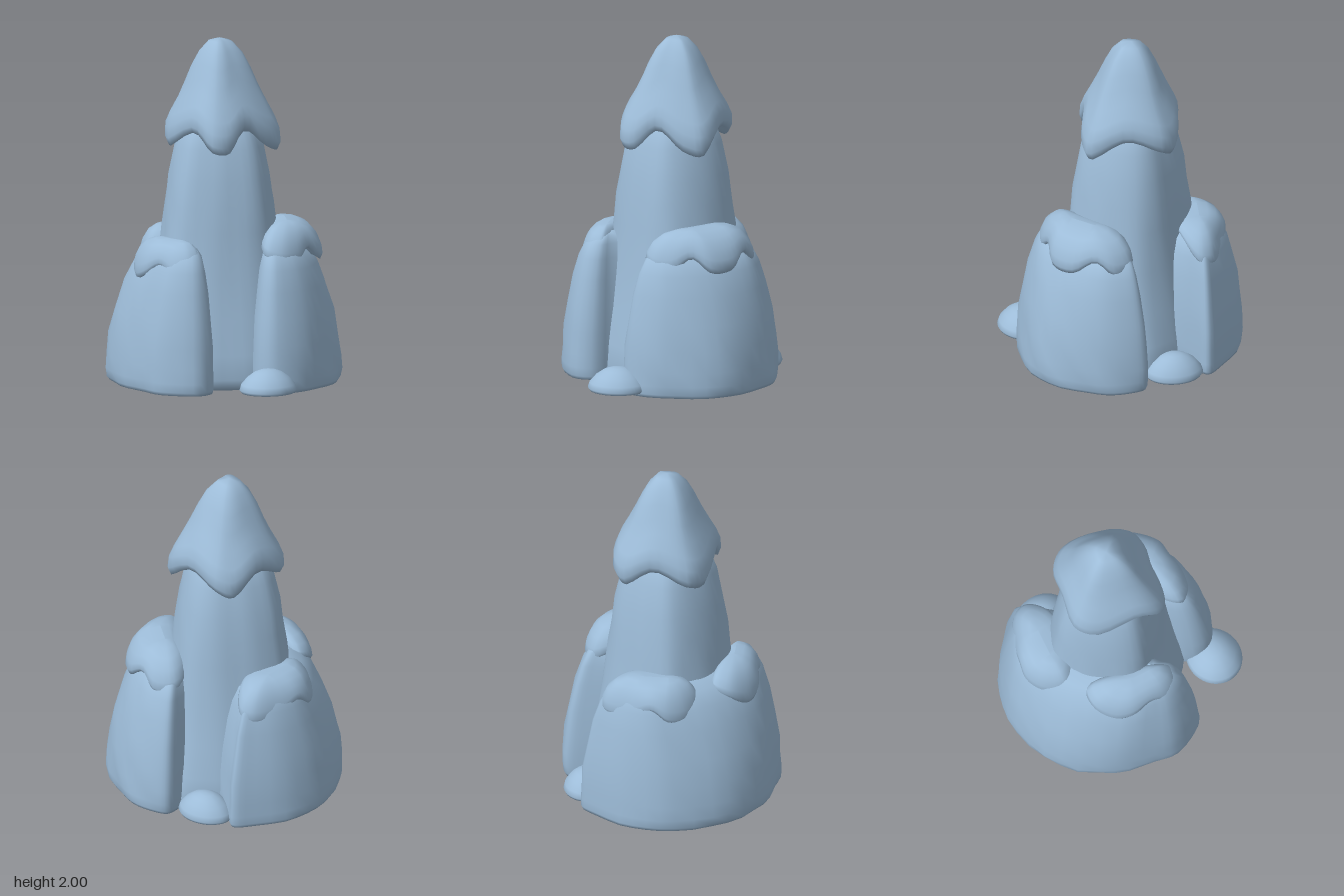
import * as THREE from 'three';
import { mergeVertices } from 'three/addons/utils/BufferGeometryUtils.js';

const N = 44; // points around each mound
const V = (p) => new THREE.Vector3(...p);

// Nearest point to p, in plan, on the ridge a-b (a single peak if a equals b)
function nearestOnRidge(p, a, b) {
  const dx = b[0] - a[0], dz = b[2] - a[2];
  const length2 = dx * dx + dz * dz;
  const t = length2 > 0 ? ((p.x - a[0]) * dx + (p.z - a[2]) * dz) / length2 : 0;
  const k = THREE.MathUtils.clamp(t, 0, 1);
  return [a[0] + dx * k, a[2] + dz * k];
}

// Rounded mound: a closed rim [x,y,z] shrinks toward the ridge a-b by a
// profile of [spread, rise], where rise 0 is the rim and 1 the ridge height.
function mound(rim, a, b, profile, lump = 0) {
  const points = new THREE.CatmullRomCurve3(rim.map(V), true).getPoints(N).slice(0, N);
  const pos = [], index = [];
  for (const [s, h] of profile) {
    for (const p of points) {
      const [cx, cz] = nearestOnRidge(p, a, b);
      const y = p.y + (a[1] - p.y) * h;
      const bump = Math.sin(p.x * 17 + y * 9) * Math.sin(p.z * 15 - y * 11 + 1);
      const k = s * (1 + lump * bump);
      pos.push(cx + (p.x - cx) * k, y, cz + (p.z - cz) * k);
    }
  }
  for (let r = 0; r < profile.length - 1; r++) {
    for (let i = 0; i < N; i++) {
      const j = (i + 1) % N, lo = r * N, hi = lo + N;
      index.push(lo + i, hi + i, hi + j, lo + i, hi + j, lo + j);
    }
  }
  const raw = new THREE.BufferGeometry();
  raw.setAttribute('position', new THREE.Float32BufferAttribute(pos, 3));
  raw.setIndex(index);
  const geometry = mergeVertices(raw);
  geometry.computeVertexNormals();
  return geometry;
}

const ground = (outline) => outline.map(([x, z]) => [x, 0, z]);

// Rim of points at even angles around a centre, one radius factor per point
const around = (x, y, z, rx, rz, factors) => factors.map((f, i) => {
  const t = i / factors.length * Math.PI * 2;
  return [x + rx * f * Math.cos(t), y, z + rz * f * Math.sin(t)];
});

export function createModel() {
  const group = new THREE.Group();
  const stone = new THREE.MeshStandardMaterial({ color: 0x9dbcd8 });
  stone.name = 'pale blue stone';
  const add = (name, geometry) => {
    const mesh = new THREE.Mesh(geometry, stone);
    mesh.name = name;
    group.add(mesh);
  };

  // Tall central spire, nearly round in plan
  const spireBase = [.01, 1, -.035];
  add('spire', mound(around(.01, 0, -.035, .48, .48, [1, .93, 1, .89, 1, .92, 1, .89]), spireBase, spireBase,
    [[0, 0], [.95, 0], [1, .06], [.95, .2], [.88, .4], [.8, .65], [.74, .9],
      [.7, 1.05], [.655, 1.2], [.575, 1.38], [.44, 1.55], [0, 1.65]], .02));

  // Pointed snow cap, drooping at the four corners
  const capRim = [[.33, 1.41, -.15], [.295, 1.48, .05], [.22, 1.35, .26], [.1, 1.38, .27], [-.06, 1.49, .225],
    [-.21, 1.37, .215], [-.285, 1.38, .15], [-.27, 1.48, 0], [-.2, 1.37, -.25], [-.1, 1.4, -.33],
    [.1, 1.48, -.3], [.28, 1.37, -.24]];
  const tip = [.02, 2, -.04];
  add('spireCap', mound(capRim, tip, tip,
    [[0, .12], [.75, .06], [.94, 0], [1, .07], [.985, .18], [.9, .29], [.76, .43],
      [.63, .58], [.51, .73], [.37, .87], [.2, .97], [0, 1]], .015));

  // Lower rocks leaning against the spire
  const rockProfile = [[0, 0], [.95, 0], [.985, .02], [1, .07], [.985, .15], [.955, .27], [.88, .42],
    [.76, .58], [.64, .7], [.5, .78], [.3, .82], [0, .84]];
  const frontOutline = [[.5, -.02], [.61, 0], [.635, .1], [.59, .3], [.38, .57], [.05, .64],
    [-.2, .55], [-.21, .42], [0, .2], [.22, 0]];
  add('frontRock', mound(ground(frontOutline), [.03, 1, .36], [.32, 1, .12], rockProfile, .025));

  const backOutline = [[.47, -.34], [.3, -.12], [0, .05], [-.3, .15], [-.42, .26], [-.55, .24], [-.635, .05],
    [-.62, -.1], [-.55, -.35], [-.33, -.6], [0, -.69], [.25, -.63], [.46, -.46], [.51, -.39]];
  add('backRock', mound(ground(backOutline), [-.36, 1, .05], [.2, 1, -.4], rockProfile, .025));

  // Scalloped snow caps on the rocks
  const capProfile = [[0, .3], [.75, .1], [.94, 0], [1, .13], [.97, .33], [.85, .6],
    [.63, .83], [.34, .96], [0, 1]];
  add('frontCap', mound([[.45, .73, .05], [.5, .72, .16], [.46, .8, .27], [.41, .72, .4], [.3, .72, .49],
    [.18, .8, .49], [.06, .72, .51], [-.05, .72, .48], [-.1, .76, .4], [-.02, .8, .3],
    [.12, .8, .2], [.3, .8, .06]], [.16, .95, .35], [.28, .95, .23], capProfile));
  add('rightCap', mound([[-.36, .75, .1], [-.41, .65, .17], [-.48, .65, .14], [-.52, .66, .06],
    [-.51, .73, -.06], [-.51, .66, -.18], [-.46, .63, -.28], [-.35, .7, -.36], [-.25, .75, -.34],
    [-.29, .8, -.1]], [-.38, .87, .01], [-.37, .87, -.12], capProfile));
  add('backCap', mound([[-.17, .7, -.41], [-.11, .64, -.53], [0, .65, -.59], [.1, .72, -.58],
    [.22, .66, -.54], [.37, .65, -.45], [.39, .67, -.37], [.25, .8, -.28], [0, .8, -.28]],
  [0, .87, -.43], [.17, .87, -.41], capProfile));

  // Small flat-bottomed boulders
  const even = new Array(10).fill(1);
  for (const [name, x, z, rx, rz] of [['frontBoulder', -.245, .53, .175, .16], ['sideBoulder', .48, -.19, .135, .17]]) {
    const peak = [x, .155, z];
    add(name, mound(around(x, .02, z, rx, rz, even), peak, peak,
      [[0, 0], [.94, 0], [1, .12], [.94, .35], [.73, .65], [.48, .87], [.25, .97], [0, 1]]));
  }
  return group;
}
